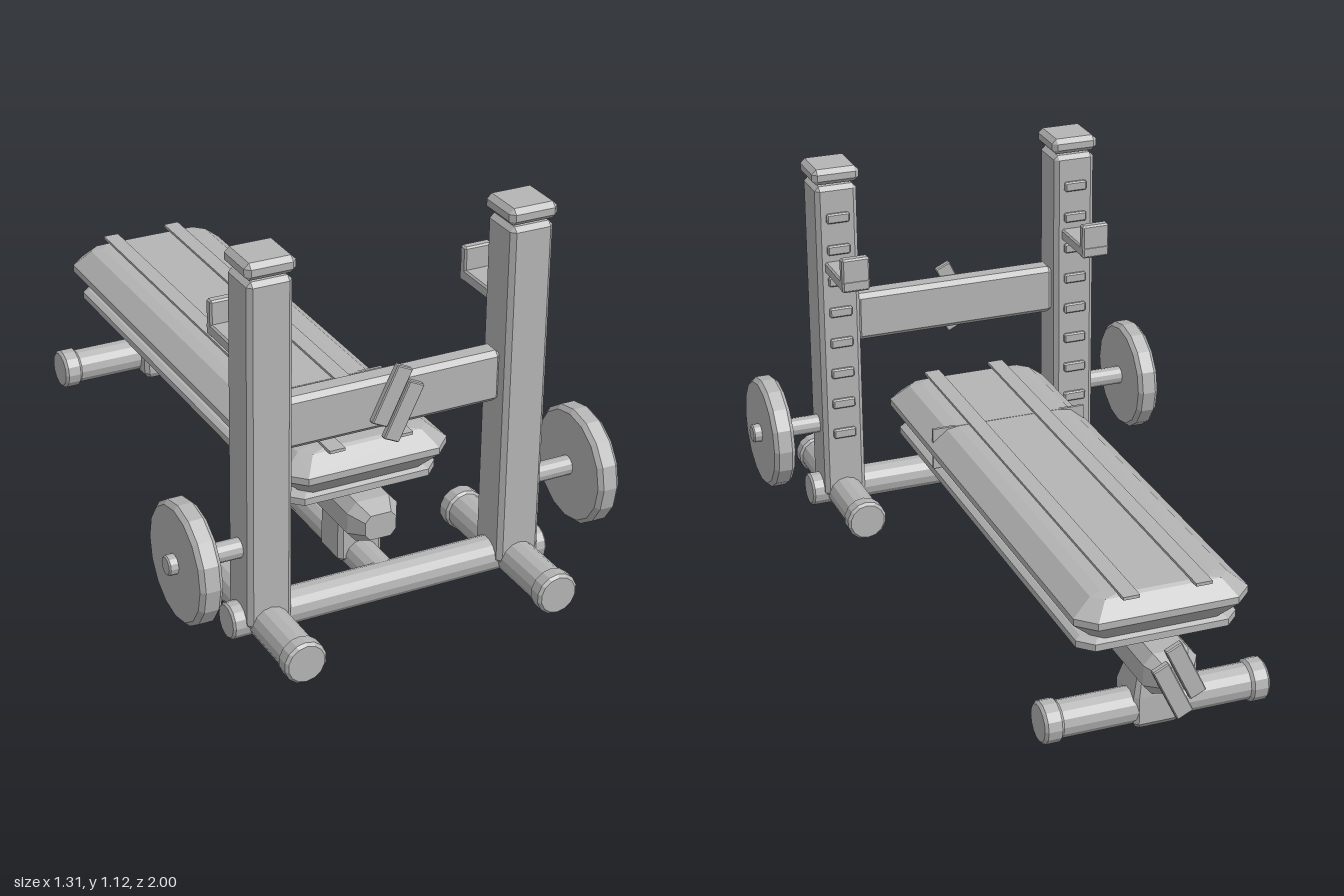
import * as THREE from 'three';
import { ConvexGeometry } from 'three/addons/geometries/ConvexGeometry.js';

export function createModel() {
  const model = new THREE.Group();
  model.name = 'benchPressRack';
  const steel = new THREE.MeshStandardMaterial({ color: 0xb4b4b4 });
  steel.name = 'plainGrey';
  const facets = steel.clone();
  facets.name = 'plainGrey';
  facets.flatShading = true;

  function add(name, geometry, x, y, z) {
    const mesh = new THREE.Mesh(geometry, facets);
    mesh.name = name;
    mesh.position.set(x, y, z);
    model.add(mesh);
    return mesh;
  }

  // Box with every edge chamfered by c
  function chamferBox(w, h, d, c) {
    const pts = [];
    for (const sx of [-1, 1]) for (const sy of [-1, 1]) for (const sz of [-1, 1]) {
      const p = (a, b, e) => pts.push(new THREE.Vector3(sx * (w / 2 - a), sy * (h / 2 - b), sz * (d / 2 - e)));
      p(c, c, 0);
      p(c, 0, c);
      p(0, c, c);
    }
    return new ConvexGeometry(pts);
  }

  // Convex solid from layers of [y, halfWidth, zBack, zFront, cornerCut]
  function layered(layers) {
    const pts = [];
    for (const [y, w, z0, z1, c] of layers) for (const s of [-1, 1]) {
      pts.push(
        new THREE.Vector3(s * w, y, z0 + c), new THREE.Vector3(s * (w - c), y, z0),
        new THREE.Vector3(s * w, y, z1 - c), new THREE.Vector3(s * (w - c), y, z1));
    }
    return new ConvexGeometry(pts);
  }

  // Round bar with chamfered ends, lying along x or z
  function roundBar(name, r, length, axis, x, y, z, bevel = 0.006, sides = 14) {
    const h = length / 2;
    const profile = [[0, -h], [r - bevel, -h], [r, -h + bevel], [r, h - bevel], [r - bevel, h], [0, h]];
    const geo = new THREE.LatheGeometry(profile.map(([a, b]) => new THREE.Vector2(a, b)), sides);
    if (axis === 'x') geo.rotateZ(-Math.PI / 2);
    else geo.rotateX(Math.PI / 2);
    return add(name, geo, x, y, z);
  }

  // Uprights with everything attached to them
  for (const s of [-1, 1]) {
    const x = 0.379 * s;
    add('upright', chamferBox(0.128, 1.013, 0.13, 0.013), x, 0.5665, 0.725);
    add('uprightCap', chamferBox(0.144, 0.048, 0.142, 0.014), x, 1.104, 0.725);

    // Row of height stops on the back face
    for (let i = 0; i < 8; i++) {
      add('heightStop', chamferBox(0.07, 0.03, 0.03, 0.004), x, 0.975 - i * 0.1, 0.664);
    }

    // Bar hook
    add('hookArm', chamferBox(0.085, 0.035, 0.18, 0.005), x, 0.82, 0.58);
    add('hookLip', chamferBox(0.085, 0.104, 0.028, 0.005), x, 0.853, 0.505);

    // Floor foot with end caps
    roundBar('frontFoot', 0.054, 0.52, 'z', x, 0.067, 0.725);
    roundBar('footCap', 0.061, 0.05, 'z', x, 0.067, 0.974, 0.008);
    roundBar('footCap', 0.061, 0.05, 'z', x, 0.067, 0.475, 0.008);

    // Weight disc on its peg
    roundBar('weightPeg', 0.028, 0.235, 'x', 0.5355 * s, 0.287, 0.728, 0.004, 12);
    roundBar('weightDisc', 0.17, 0.065, 'x', 0.595 * s, 0.287, 0.728, 0.012, 16);
  }

  // Bars joining the uprights
  roundBar('lowerCrossTube', 0.051, 0.96, 'x', 0, 0.068, 0.725);
  add('upperCrossBar', chamferBox(0.64, 0.15, 0.07, 0.014), 0, 0.631, 0.722);

  // Slanted pairs of plates on the cross bar and on the beam end
  for (const [y, z] of [[0.629, 0.764], [0.218, -0.99]]) {
    for (const s of [-1, 1]) {
      const plate = add('slantedPlate', chamferBox(0.05, 0.172, 0.02, 0.003), 0.018 * s, y - 0.027 * s, z);
      plate.rotation.z = -0.445;
    }
  }

  // Bench pad, its top strips and the strap around it
  add('benchPad', layered([
    [0.315, 0.19, -0.875, 0.60, 0.03],
    [0.37, 0.249, -0.925, 0.65, 0.05],
    [0.39, 0.249, -0.925, 0.65, 0.05],
    [0.435, 0.195, -0.885, 0.605, 0.03],
    [0.441, 0.16, -0.875, 0.595, 0.03],
  ]), 0, 0, 0);
  for (const s of [-1, 1]) {
    add('padStrip', new THREE.BoxGeometry(0.047, 0.009, 1.545), 0.103 * s, 0.4435, -0.142);
  }
  add('padStrap', new THREE.BoxGeometry(0.476, 0.126, 0.009), 0, 0.379, 0.242);

  // Board under the pad
  add('padBoard', layered([
    [0.278, 0.215, -0.87, 0.595, 0.035],
    [0.286, 0.23, -0.885, 0.61, 0.04],
    [0.306, 0.23, -0.885, 0.61, 0.04],
    [0.315, 0.215, -0.87, 0.595, 0.035],
  ]), 0, 0, 0);

  // Main beam, tapering at both ends
  const beam = [];
  for (const [z, k] of [[-0.98, 0.62], [-0.935, 1], [0.64, 1], [0.69, 0.62]]) {
    for (const sx of [-1, 1]) for (const sy of [-1, 1]) {
      beam.push(
        new THREE.Vector3(sx * 0.076 * k, 0.217 + sy * 0.03 * k, z),
        new THREE.Vector3(sx * 0.05 * k, 0.217 + sy * 0.06 * k, z));
    }
  }
  add('mainBeam', new ConvexGeometry(beam), 0, 0, 0);

  // Front support and the tube running back under the bench
  add('frontSupport', chamferBox(0.134, 0.14, 0.12, 0.012), 0, 0.125, 0.52);
  roundBar('centreTube', 0.048, 0.51, 'z', 0, 0.067, 0.47);

  // Rear support and foot
  add('rearSupport', layered([
    [0.012, 0.06, -0.86, -0.745, 0.01],
    [0.03, 0.07, -0.875, -0.735, 0.012],
    [0.11, 0.07, -0.875, -0.735, 0.012],
    [0.17, 0.06, -0.87, -0.76, 0.01],
  ]), 0, 0, 0);
  roundBar('rearFoot', 0.052, 0.62, 'x', 0, 0.067, -0.823);
  for (const s of [-1, 1]) {
    roundBar('rearFootCap', 0.06, 0.055, 'x', 0.299 * s, 0.067, -0.823, 0.008);
  }

  return model;
}
